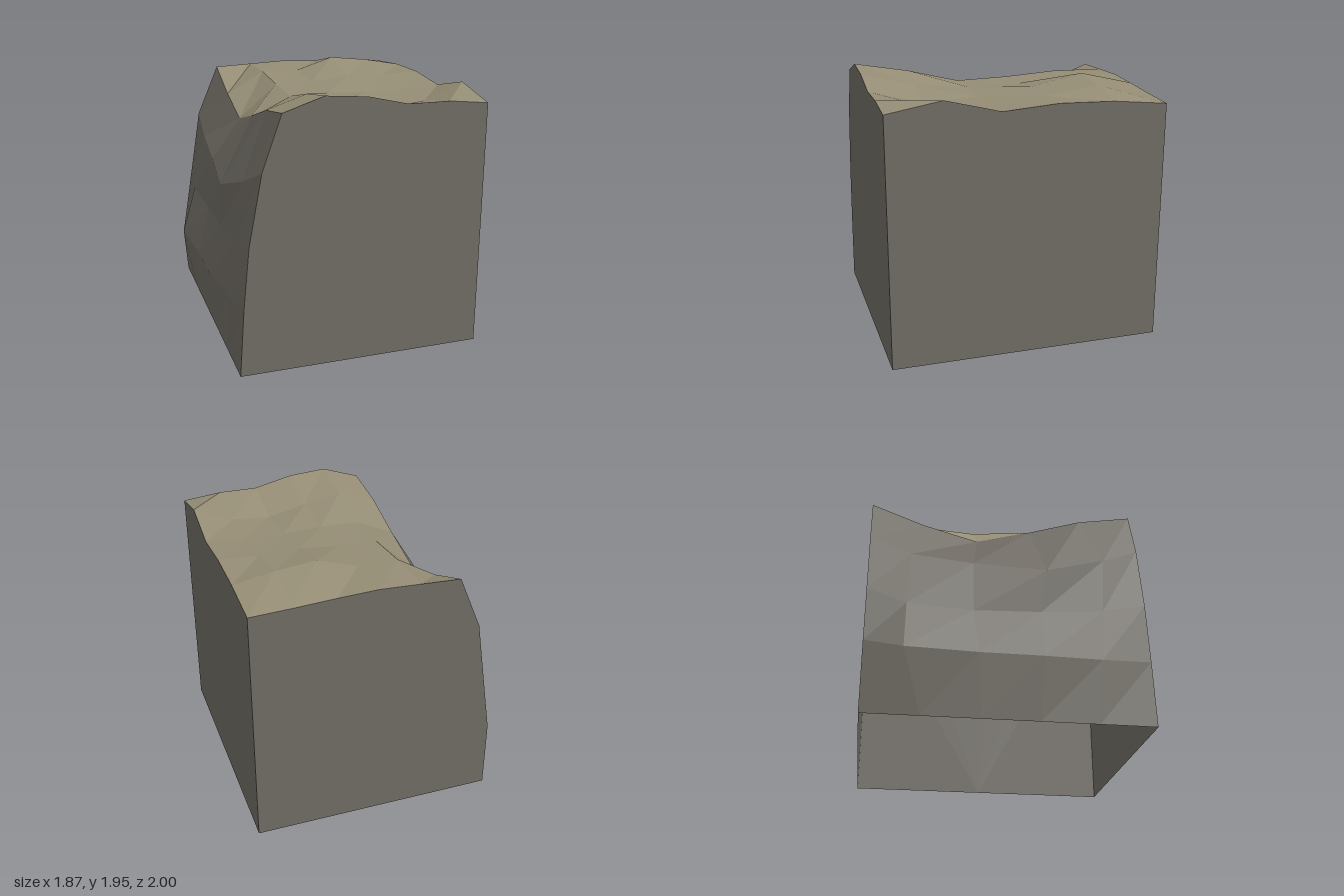
import * as THREE from 'three';

// Flat-shaded surface from a list of triangle corners
function surface(name, tris, material) {
  const g = new THREE.BufferGeometry().setFromPoints(tris);
  g.computeVertexNormals();
  const mesh = new THREE.Mesh(g, material);
  mesh.name = name;
  return mesh;
}

// Triangles for a rows x columns grid of points
function gridTris(rows) {
  const tris = [];
  for (let r = 0; r < rows.length - 1; r++) {
    for (let c = 0; c < rows[r].length - 1; c++) {
      const a = rows[r][c], b = rows[r + 1][c];
      const d = rows[r + 1][c + 1], e = rows[r][c + 1];
      tris.push(a, b, e, b, d, e);
    }
  }
  return tris;
}

// Triangles fanning out from a point on the base to a rim
function fanTris(center, rim) {
  const tris = [];
  for (let i = 0; i < rim.length - 1; i++) tris.push(center, rim[i], rim[i + 1]);
  return tris;
}

export function createModel() {
  const V = (x, y, z) => new THREE.Vector3(x, y, z);
  const stone = new THREE.MeshStandardMaterial({ color: 0x6e6a62, flatShading: true, side: THREE.DoubleSide });
  stone.name = 'grey stone';
  const earth = new THREE.MeshStandardMaterial({ color: 0x958d75, flatShading: true, side: THREE.DoubleSide });
  earth.name = 'dry earth';
  const group = new THREE.Group();
  group.name = 'cliffBlock';

  // Uneven ground: heights in rows from back to front
  const xs = [-0.545, -0.25, 0.045, 0.34, 0.64, 0.935];
  const zs = [-1, -0.6, -0.2, 0.2, 0.6, 1];
  const heights = [
    [1.8, 1.81, 1.82, 1.805, 1.785, 1.77],
    [1.65, 1.815, 1.81, 1.9, 1.865, 1.81],
    [1.54, 1.79, 1.79, 1.82, 1.81, 1.82],
    [1.655, 1.78, 1.785, 1.77, 1.77, 1.79],
    [1.785, 1.88, 1.82, 1.75, 1.77, 1.89],
    [1.855, 1.95, 1.925, 1.855, 1.853, 1.82],
  ];
  const top = heights.map((row, i) => row.map((h, j) => V(xs[j], h, zs[i])));

  // Weathered cliff: rows from the ground edge down, each back to front
  const cliff = [
    top.map((row) => row[0]),
    [V(-0.714, 1.41, -1), V(-0.73, 1.285, -0.7), V(-0.76, 1.225, -0.25),
      V(-0.815, 1.18, 0.28), V(-0.75, 1.33, 0.72), V(-0.685, 1.465, 1)],
    [V(-0.79, 0.954, -1), V(-0.825, 0.84, -0.72), V(-0.81, 0.82, -0.25),
      V(-0.81, 0.84, 0.23), V(-0.805, 0.88, 0.68), V(-0.783, 0.954, 1)],
    [V(-0.863, 0.52, -1), V(-0.935, 0.46, -0.73), V(-0.905, 0.46, -0.22),
      V(-0.905, 0.46, 0.23), V(-0.87, 0.47, 0.64), V(-0.83, 0.49, 1)],
    zs.map((z) => V(-0.865, 0, z)),
  ];

  // Flat cut faces share the ground and cliff edges
  const rimAt = (i) => [...cliff.map((row) => row[i]).reverse(), ...top[i].slice(1), V(0.935, 0, zs[i])];
  const rightRim = [V(0.935, 0, -1), ...top.map((row) => row[5]), V(0.935, 0, 1)];

  group.add(
    surface('ground', gridTris(top), earth),
    surface('cliffFace', gridTris(cliff), stone),
    surface('frontWall', fanTris(V(0, 0, 1), rimAt(5).reverse()), stone),
    surface('backWall', fanTris(V(0, 0, -1), rimAt(0)), stone),
    surface('sideWall', fanTris(V(0.935, 0, 0), rightRim), stone),
  );
  return group;
}
